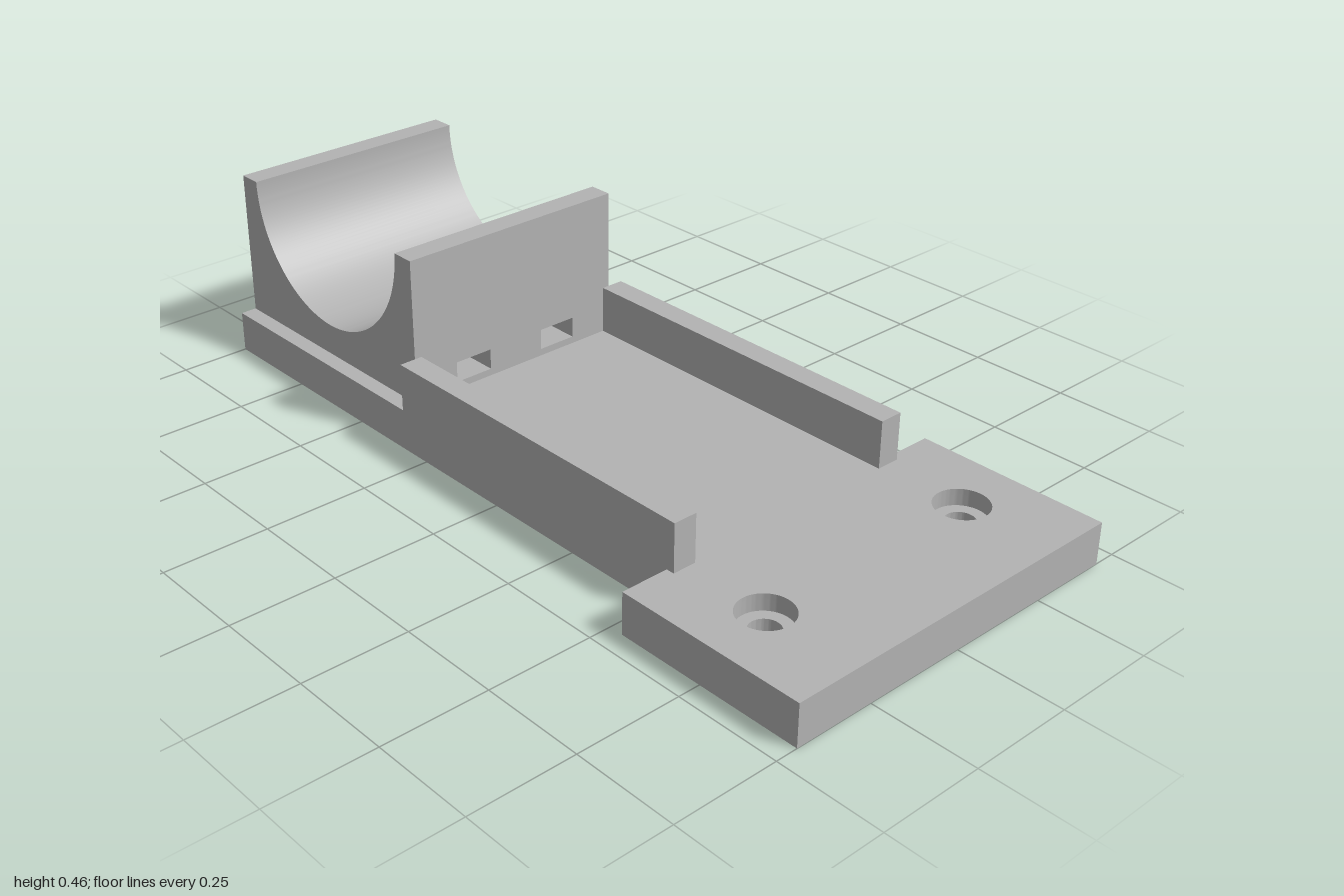
import * as THREE from 'three';
import { toCreasedNormals } from 'three/addons/utils/BufferGeometryUtils.js';

const BASE_TOP = 0.1, BACK = -1, SADDLE_FRONT = -0.33, SADDLE_HALF = 0.29;
const SLOT_TOP = 0.167, SADDLE_TOP = 0.455;

function extrude(shape, depth) {
  const geo = new THREE.ExtrudeGeometry(shape, { depth, bevelEnabled: false, curveSegments: 48 });
  return toCreasedNormals(geo, 0.5);
}

function polygon(points) {
  return new THREE.Shape(points.map(([x, y]) => new THREE.Vector2(x, y)));
}

// T-shaped plate layer with two screw holes; shape y is -z
function plateLayer(holeRadius, y0, y1) {
  const shape = polygon([
    [-0.447, -1], [0.447, -1], [0.447, -0.535], [0.33, -0.535],
    [0.33, 1], [-0.33, 1], [-0.33, -0.535], [-0.447, -0.535],
  ]);
  for (const x of [-0.29, 0.29]) {
    const hole = new THREE.Path();
    hole.absarc(x, -0.765, holeRadius, 0, Math.PI * 2, true);
    shape.holes.push(hole);
  }
  return extrude(shape, y1 - y0).rotateX(-Math.PI / 2).translate(0, y0, 0);
}

export function createModel() {
  const model = new THREE.Group();
  model.name = 'cradleMount';
  const grey = new THREE.MeshStandardMaterial({ color: 0xb3b3b3 });
  grey.name = 'grey';
  const add = (name, geo) => {
    const mesh = new THREE.Mesh(geo, grey);
    mesh.name = name;
    model.add(mesh);
  };

  // Base plate: narrow holes below, wide counterbores above
  add('basePlateLower', plateLayer(0.035, 0, 0.06));
  add('basePlateUpper', plateLayer(0.062, 0.06, BASE_TOP));

  // Side rails
  for (const side of [-1, 1]) {
    const rail = new THREE.BoxGeometry(0.058, 0.115, 0.885);
    rail.translate(side * 0.301, BASE_TOP + 0.0575, 0.1125);
    add(side > 0 ? 'leftRail' : 'rightRail', rail);
  }

  // Saddle foot: comb section whose two notches form the strap slots
  const foot = polygon([
    [-SADDLE_HALF, BASE_TOP], [SADDLE_HALF, BASE_TOP], [SADDLE_HALF, SLOT_TOP],
    [0.174, SLOT_TOP], [0.174, 0.117], [0.076, 0.117], [0.076, SLOT_TOP],
    [-0.076, SLOT_TOP], [-0.076, 0.117], [-0.174, 0.117], [-0.174, SLOT_TOP],
    [-SADDLE_HALF, SLOT_TOP],
  ]);
  add('saddleFoot', extrude(foot, SADDLE_FRONT - BACK).translate(0, 0, BACK));

  // Saddle: side profile in (z, y) with a half-round trough
  const profile = new THREE.Shape();
  profile.moveTo(BACK, SLOT_TOP);
  profile.lineTo(SADDLE_FRONT, SLOT_TOP);
  profile.lineTo(SADDLE_FRONT, SADDLE_TOP);
  profile.absarc(-0.665, SADDLE_TOP, 0.278, 0, -Math.PI, true);
  profile.lineTo(BACK, SADDLE_TOP);
  profile.closePath();
  add('saddle', extrude(profile, SADDLE_HALF * 2)
    .rotateY(-Math.PI / 2).translate(SADDLE_HALF, 0, 0));

  return model;
}
